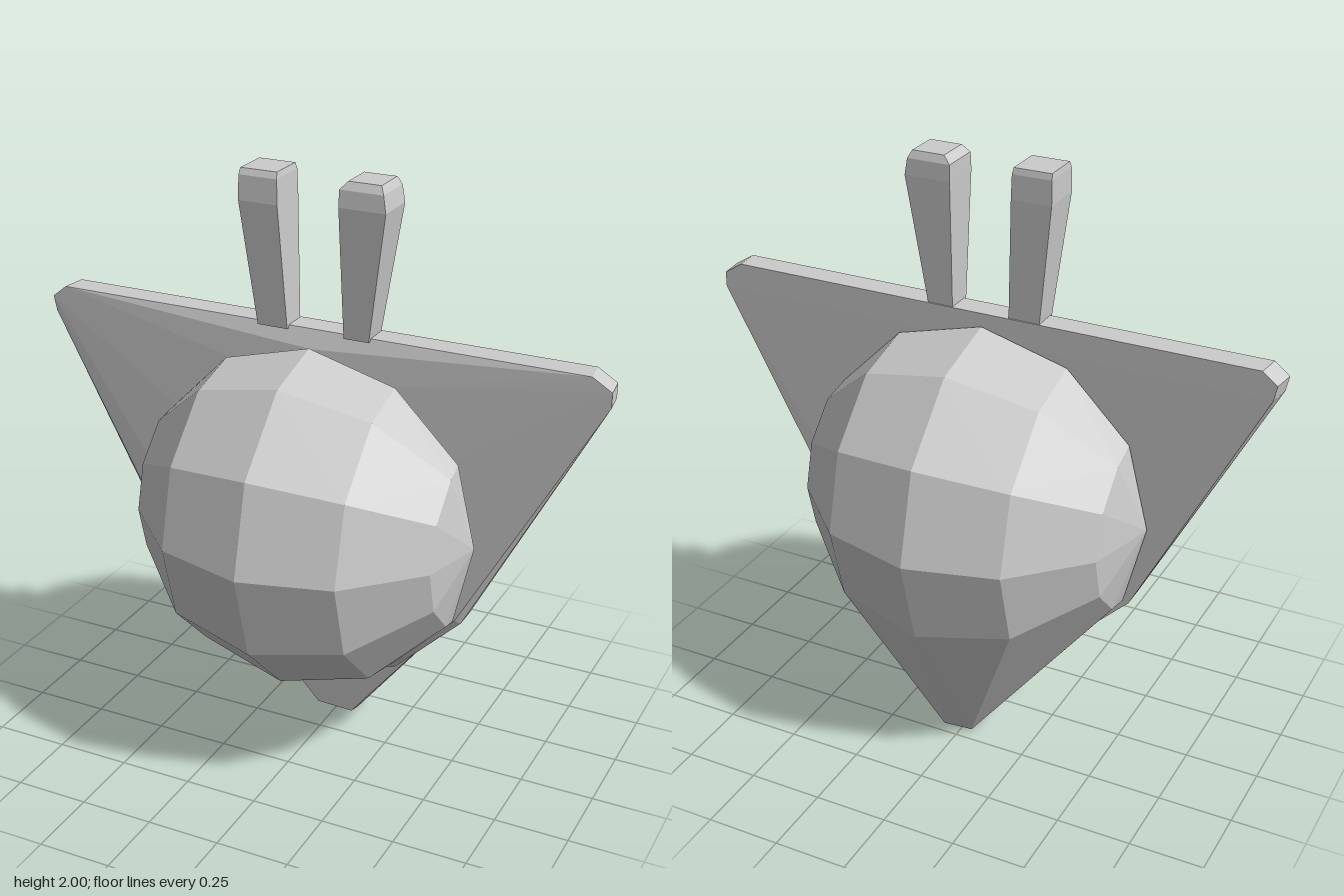
import * as THREE from 'three';
import { ConvexGeometry } from 'three/addons/geometries/ConvexGeometry.js';

const material = new THREE.MeshStandardMaterial({ color: 0xcccccc, flatShading: true });
const CENTRE_Y = 0.87;
const RADIUS = 0.6;
const STEP = Math.PI / 6;

// Every part is a convex faceted solid spanned by a few corner points.
function solid(name, points) {
  const mesh = new THREE.Mesh(new ConvexGeometry(points.map((p) => new THREE.Vector3(...p))), material);
  mesh.name = name;
  return mesh;
}

// Half of a 12-sided ball with its poles on the x axis, cut flat at z = side * gap.
function halfBall(side, gap) {
  const points = [];
  for (let lat = -2; lat <= 2; lat++) {
    const x = RADIUS * Math.sin(lat * STEP);
    const r = RADIUS * Math.cos(lat * STEP);
    for (let i = 1; i <= 5; i++) {
      const a = -Math.PI / 2 + i * STEP;
      points.push([x, CENTRE_Y + r * Math.sin(a), side * r * Math.cos(a)]);
    }
    // The cut runs a little way down the last row of facets.
    const cut = r - gap * Math.tan(STEP / 2);
    for (const s of [-1, 1]) points.push([x * 0.99, CENTRE_Y + s * cut, side * gap]);
  }
  for (const s of [-1, 1]) points.push([s * (RADIUS - gap * Math.tan(STEP / 2)), CENTRE_Y, side * gap]);
  return points.filter((p) => side * p[2] >= gap - 1e-6);
}

// Blunt tip drawn down from the rear half.
const tip = [
  [-0.05, 0.035, -0.09], [0.08, 0.03, -0.09],
  [-0.055, 0.02, -0.14], [0.08, 0.015, -0.15],
  [-0.035, 0, -0.2], [0.065, 0, -0.21],
];

// Triangular plate with a rounded lower end and a slightly raised front.
function platePoints() {
  const corners = [
    [-0.93, 1.5], [0.91, 1.5], [0.975, 1.46], [0.975, 1.41], [-0.98, 1.46], [-0.97, 1.41],
  ];
  const lower = [[0.53, 0.57], [0.3, 0.345], [0, 0.27], [-0.3, 0.345], [-0.53, 0.57]];
  const points = [];
  for (const [x, y] of corners) points.push([x * 0.99, y, -0.045], [x, y, 0.04]);
  for (const [x, y] of lower) points.push([x, y, -0.037], [x, y, 0.045], [x * 0.97, y + 0.015, 0.063]);
  for (let i = 0; i <= 6; i++) {
    const a = i * STEP;
    points.push([0.57 * Math.cos(a), CENTRE_Y + 0.57 * Math.sin(a), 0.063]);
  }
  return points;
}

// Tapered post: each level is [y, xMin, xMax, zMin, zMax].
function post(name, levels) {
  const points = [];
  for (const [y, x0, x1, z0, z1] of levels) {
    for (const x of [x0, x1]) for (const z of [z0, z1]) points.push([x, y, z]);
  }
  return solid(name, points);
}

export function createModel() {
  const group = new THREE.Group();
  group.name = 'model';
  group.add(
    solid('frontDome', halfBall(1, 0.08)),
    solid('rearDrop', [...halfBall(-1, 0.05).filter((p) => p[1] > 0.56), ...tip]),
    solid('plate', platePoints()),
    post('leftEar', [
      [1.49, 0.107, 0.193, -0.04, 0.053],
      [1.92, 0.102, 0.258, -0.06, 0.085],
      [1.975, 0.102, 0.248, -0.06, 0.08],
      [2, 0.125, 0.235, -0.05, 0.065],
    ]),
    post('rightEar', [
      [1.49, -0.195, -0.09, -0.04, 0.053],
      [1.9, -0.24, -0.105, -0.06, 0.085],
      [1.98, -0.24, -0.108, -0.06, 0.08],
      [2, -0.238, -0.112, -0.055, 0.07],
    ]),
  );
  return group;
}
